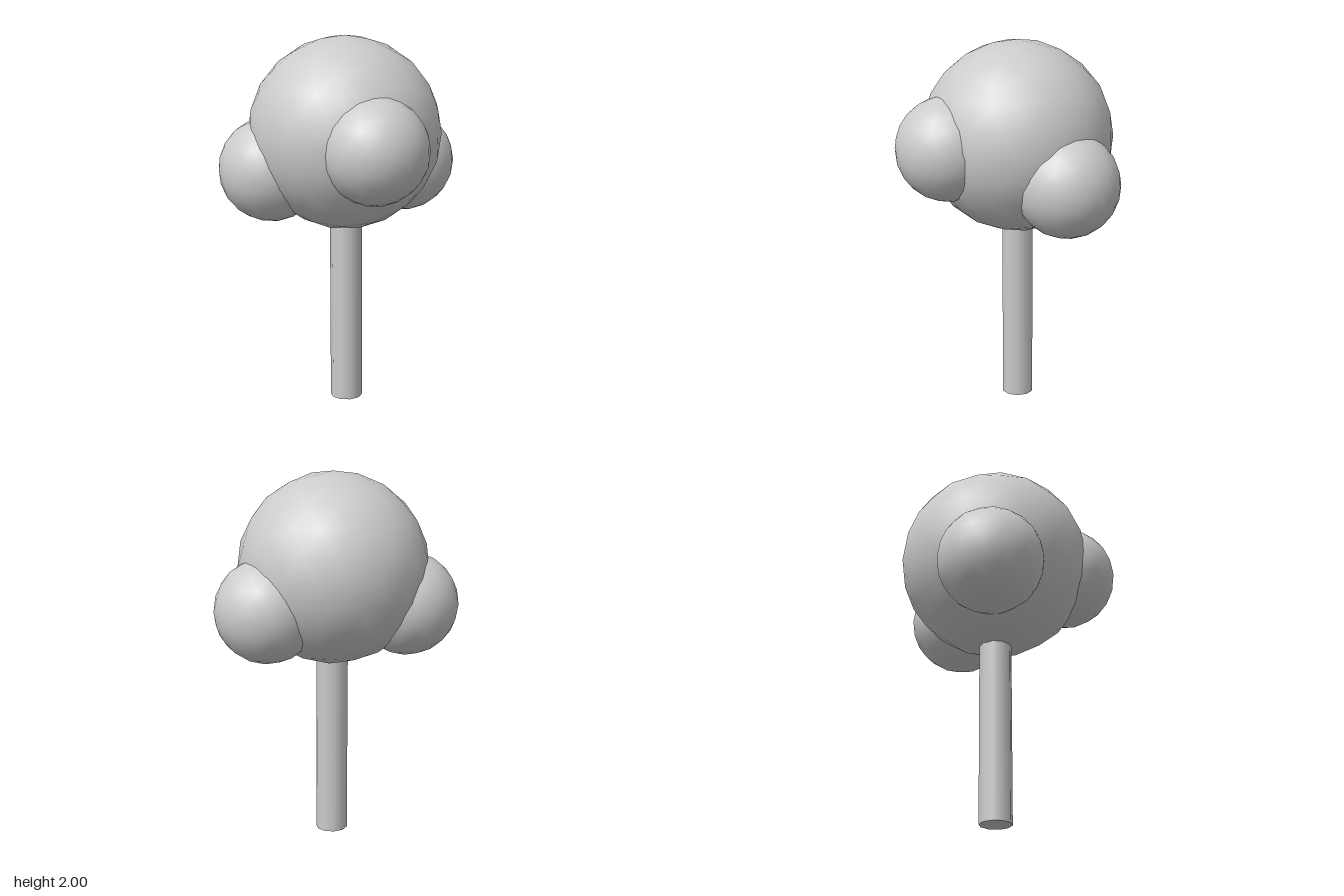
import * as THREE from 'three';

const material = new THREE.MeshStandardMaterial({ color: 0xcccccc });

// Smooth-shaded icosphere with one vertex at the very top
function foliageBall(name, radius, x, y, z) {
  const geometry = new THREE.IcosahedronGeometry(radius, 3);
  geometry.rotateZ(-Math.atan(2 / (1 + Math.sqrt(5))));
  const mesh = new THREE.Mesh(geometry, material);
  mesh.name = name;
  mesh.position.set(x, y, z);
  return mesh;
}

export function createModel() {
  const tree = new THREE.Group();
  tree.name = 'tree';

  // Trunk, running up into the crown
  const trunk = new THREE.Mesh(new THREE.CylinderGeometry(0.087, 0.087, 1.1, 10), material);
  trunk.name = 'trunk';
  trunk.position.set(-0.058, 0.55, -0.027);
  tree.add(trunk);

  // Main crown and three smaller clumps around it
  tree.add(
    foliageBall('crown', 0.514, -0.06, 1.487, -0.032),
    foliageBall('leftClump', 0.28, 0.326, 1.295, 0.07),
    foliageBall('frontClump', 0.28, -0.255, 1.455, 0.317),
    foliageBall('backClump', 0.28, -0.33, 1.297, -0.318),
  );
  return tree;
}
